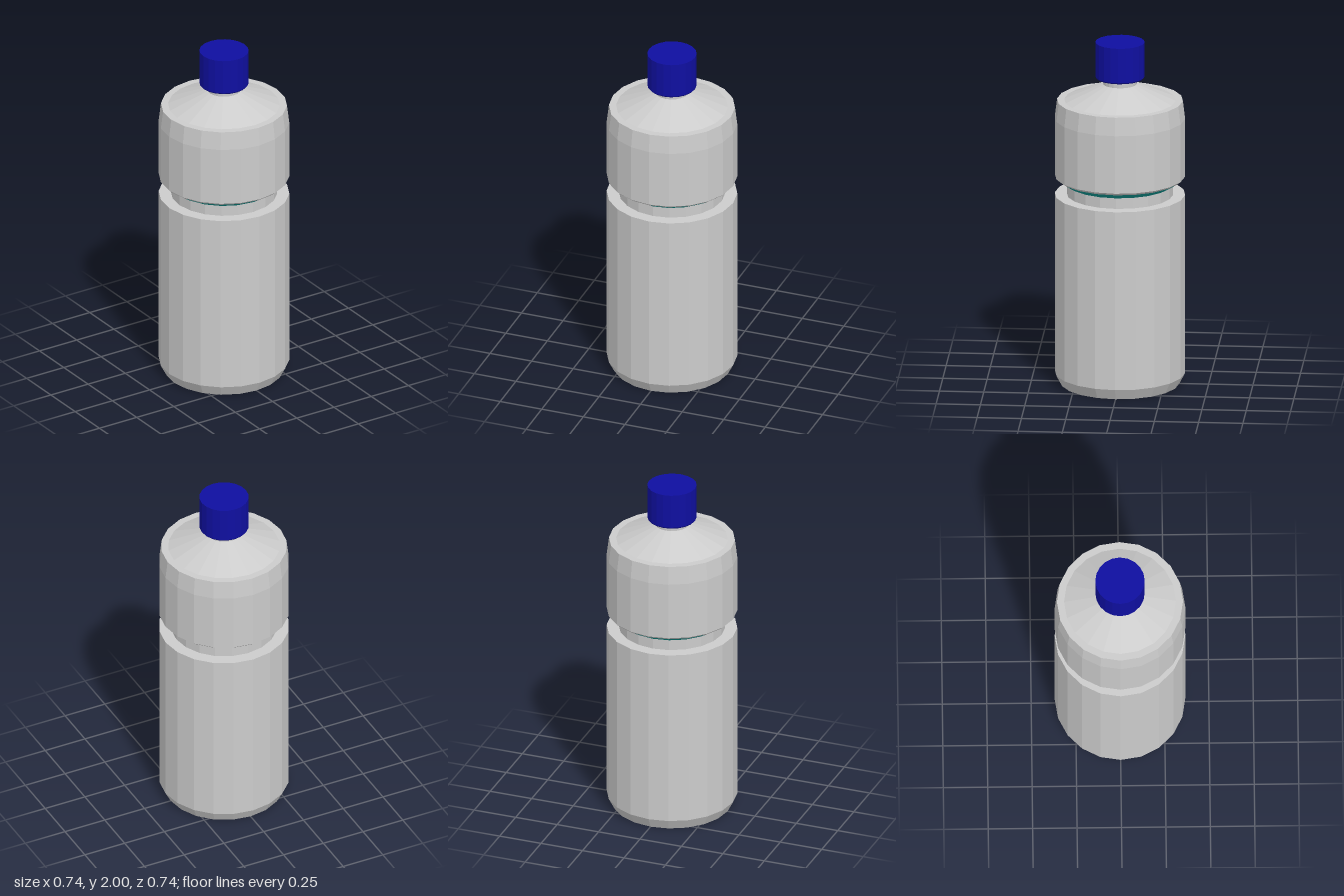
import * as THREE from 'three';

const SIDES = 20;

// Faceted solid of revolution from [radius, height] pairs, listed bottom to top
function turned(name, color, profile) {
  const points = profile.map(([r, y]) => new THREE.Vector2(r, y));
  const geometry = new THREE.LatheGeometry(points, SIDES).toNonIndexed();
  geometry.computeVertexNormals();
  const material = new THREE.MeshStandardMaterial({ color, flatShading: true, side: THREE.DoubleSide });
  const mesh = new THREE.Mesh(geometry, material);
  mesh.name = name;
  return mesh;
}

export function createModel() {
  const bottle = new THREE.Group();
  bottle.name = 'bottle';

  // Lower body with chamfered foot, flat ledge and recessed waist
  bottle.add(turned('lowerBody', 0xcccccc, [
    [0, 0], [0.335, 0], [0.368, 0.063], [0.368, 1.108], [0.3, 1.108], [0.3, 1.17],
  ]));

  // Coloured band flaring out from the waist
  bottle.add(turned('band', 0x0f9a96, [[0.3, 1.17], [0.352, 1.203]]));

  // Upper body, narrow flat rim, sloping shoulder and neck
  bottle.add(turned('upperBody', 0xcccccc, [
    [0.352, 1.203], [0.368, 1.217], [0.368, 1.555], [0.355, 1.66], [0.315, 1.66],
    [0.095, 1.755], [0.095, 1.8],
  ]));

  // Screw cap with a slightly tapered lower edge
  bottle.add(turned('cap', 0x0f0fa0, [
    [0, 1.79], [0.133, 1.79], [0.139, 1.798], [0.139, 2], [0, 2],
  ]));

  return bottle;
}
